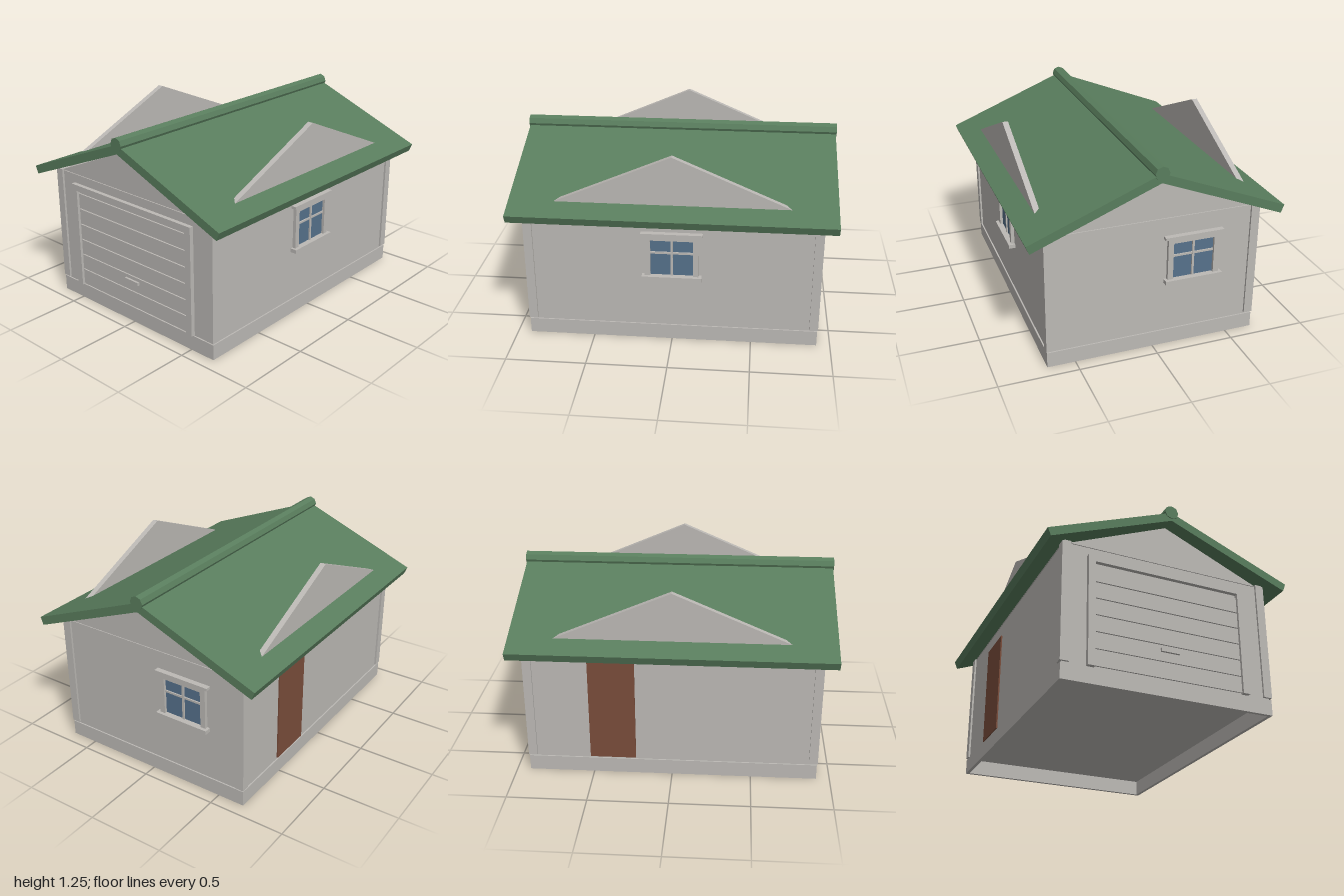
import * as THREE from 'three';

const mat = (name, color) => {
  const m = new THREE.MeshStandardMaterial({ color });
  m.name = name;
  return m;
};

export function createModel() {
  const grey = mat('grey render', 0xbcb9b5);
  const green = mat('green roofing', 0x597d5d);
  const blue = mat('blue glass', 0x56718b);
  const brown = mat('brown wood', 0x7a4d3b);
  const model = new THREE.Group();
  model.name = 'garage';

  const add = (parent, name, geometry, material) => {
    const mesh = new THREE.Mesh(geometry, material);
    mesh.name = name;
    parent.add(mesh);
    return mesh;
  };
  // Box given by its limits on each axis
  const box = (parent, name, material, [x0, x1], [y0, y1], [z0, z1]) => {
    const g = new THREE.BoxGeometry(x1 - x0, y1 - y0, z1 - z0);
    g.translate((x0 + x1) / 2, (y0 + y1) / 2, (z0 + z1) / 2);
    return add(parent, name, g, material);
  };
  // Flat outline in xy, extruded from z0 to z1
  const prism = (parent, name, material, points, z0, z1) => {
    const shape = new THREE.Shape(points.map(p => new THREE.Vector2(...p)));
    const g = new THREE.ExtrudeGeometry(shape, { depth: z1 - z0, bevelEnabled: false });
    g.translate(0, 0, z0);
    return add(parent, name, g, material);
  };

  // Walls and floor
  box(model, 'walls', grey, [-0.668, 0.668], [0.1, 0.867], [-0.906, 0.906]);

  // Hollow plinth and corner posts
  for (const s of [-1, 1]) {
    const across = [0.655, 0.677].map(v => v * s).sort((a, b) => a - b);
    const along = [0.893, 0.915].map(v => v * s).sort((a, b) => a - b);
    box(model, 'sidePlinth', grey, across, [0, 0.1], [-0.915, 0.915]);
    box(model, 'endPlinth', grey, [-0.655, 0.655], [0, 0.1], along);
    for (const t of [-1, 1]) {
      const post = box(model, 'cornerPost', grey, [-0.0275, 0.0275], [0.11, 0.877], [-0.0275, 0.0275]);
      post.position.set(0.653 * s, 0, 0.892 * t);
    }
  }

  // Gables over all four walls; the side ones rise through the roof
  const gables = [['endGable', 0.635, 1.142, 0.906, 0], ['sideGable', 0.86, 1.24, 0.67, Math.PI / 2]];
  for (const [name, half, top, out, turn] of gables) {
    for (const flip of [0, Math.PI]) {
      const outline = [[-half, 0.871], [half, 0.871], [0, top]];
      prism(model, name, grey, outline, out - 0.036, out).rotation.y = turn + flip;
    }
  }

  // Pitched roof slab and ridge roll
  prism(model, 'roof', green,
    [[0, 1.2], [-0.8, 0.88], [-0.78, 0.83], [0, 1.142], [0.78, 0.83], [0.8, 0.88]], -0.995, 0.995);
  const ridge = new THREE.CylinderGeometry(0.045, 0.045, 2, 8).toNonIndexed();
  ridge.computeVertexNormals();
  ridge.rotateX(Math.PI / 2);
  add(model, 'ridgeRoll', ridge, green).position.y = 1.2;

  // Sectional garage door
  const door = new THREE.Group();
  door.name = 'garageDoor';
  model.add(door);
  for (const x of [-0.52, 0.475]) {
    box(door, 'doorJamb', grey, [x, x + 0.045], [0.105, 0.81], [0.9, 0.933]);
  }
  box(door, 'doorLintel', grey, [-0.475, 0.475], [0.77, 0.81], [0.9, 0.933]);
  for (let i = 0; i < 6; i++) {
    const y = 0.113 + i * 0.107;
    box(door, 'doorPanel', grey, [-0.475, 0.475], [y, y + 0.1], [0.9, 0.916]);
  }
  box(door, 'doorHandle', grey, [-0.06, 0.06], [0.277, 0.298], [0.91, 0.93]);

  // Window built facing +z with the wall surface at z = 0
  const addWindow = (name) => {
    const w = new THREE.Group();
    w.name = name;
    model.add(w);
    box(w, 'glass', blue, [-0.132, 0.132], [0.462, 0.702], [-0.002, 0.004]);
    for (const x of [-0.167, 0.132]) {
      box(w, 'sideTrim', grey, [x, x + 0.035], [0.46, 0.702], [-0.01, 0.022]);
    }
    box(w, 'topTrim', grey, [-0.167, 0.167], [0.702, 0.735], [-0.01, 0.022]);
    box(w, 'headMould', grey, [-0.19, 0.19], [0.735, 0.752], [-0.01, 0.034]);
    box(w, 'sill', grey, [-0.185, 0.185], [0.437, 0.462], [-0.01, 0.043]);
    box(w, 'mullion', grey, [-0.007, 0.007], [0.462, 0.702], [0, 0.013]);
    box(w, 'crossBar', grey, [-0.132, 0.132], [0.608, 0.621], [0, 0.012]);
    return w;
  };
  const side = addWindow('sideWindow');
  side.rotation.y = Math.PI / 2;
  side.position.x = 0.668;
  const back = addWindow('backWindow');
  back.rotation.y = Math.PI;
  back.position.set(-0.25, 0, -0.906);

  // Side entrance door
  box(model, 'sideDoor', brown, [-0.677, -0.66], [0.11, 0.78], [-0.52, -0.23]);

  return model;
}
